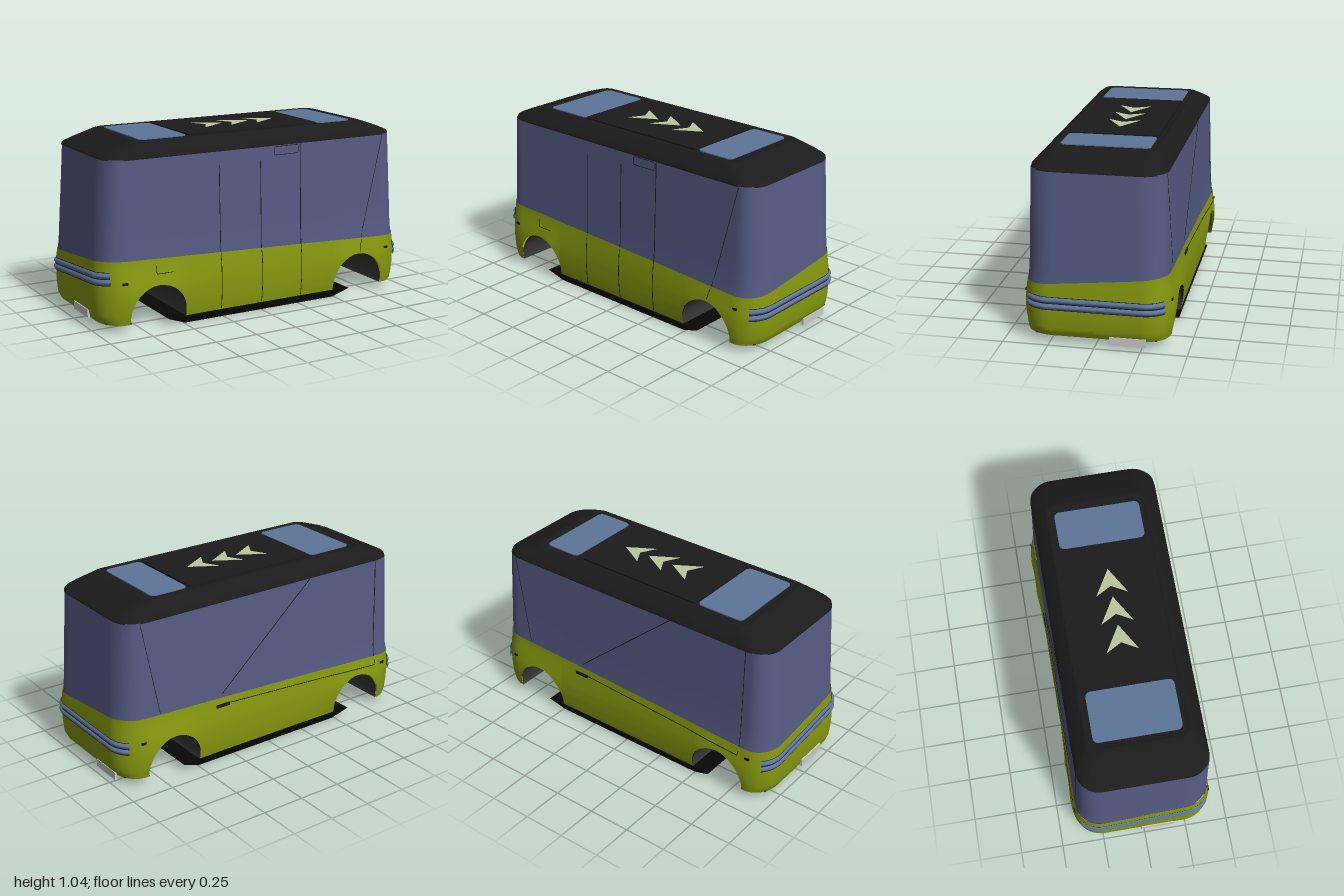
import * as THREE from 'three';

const CORE = 0.845, ARCH_X = 0.66, ARCH_Y = 0.08, ARCH_R = 0.17, SILL = 0.045, EAVE = 0.95;
const paint = (color) => new THREE.MeshStandardMaterial({ color, side: THREE.DoubleSide });
const green = paint(0x86990f), glass = paint(0x565b84), black = paint(0x1b1b1b), floorBlack = paint(0x080808);
const blue = paint(0x5d7599), wellGrey = paint(0x383838), arrowGreen = paint(0xbcc69c), grey = paint(0xcccccc);

// Body profile: height, half length, half width
const PROFILE = [
  [0, 0.955, 0.382], [0.045, 0.965, 0.385], [0.08, 0.982, 0.39], [0.14, 0.987, 0.395], [0.22, 0.988, 0.397],
  [0.3, 0.984, 0.392], [0.38, 0.977, 0.383], [0.95, 0.94, 0.365], [1.1, 0.93, 0.36],
];
function profile(y) {
  let i = 1;
  while (i < PROFILE.length - 1 && PROFILE[i][0] < y) i++;
  const p = PROFILE[i - 1], q = PROFILE[i], t = (y - p[0]) / (q[0] - p[0]);
  return [p[1] + (q[1] - p[1]) * t, p[2] + (q[2] - p[2]) * t];
}
// Swelling of the side around the wheel arches
const flare = (x, y) =>
  0.017 * Math.exp(-(((Math.abs(x) - 0.68) / 0.2) ** 4)) * Math.exp(-(((y - 0.18) / 0.12) ** 2));
const waist = (x, z) => 0.367 - 0.0375 * (x / 0.95) * (z / 0.38);

// A column of the shell: place on the core rectangle (kx, kz) and outward direction (nx, nz)
const column = (kx, kz, nx, nz) => ({ kx, kz, nx, nz });
function plan(c, a, b, core = CORE, r = 0.15) {
  return [c.kx * core + c.nx * (a - core), c.kz * (b - r) + c.nz * r];
}
function bodyPoint(c, y, out = 0) {
  const [a, b] = profile(y);
  const [x, z] = plan(c, a + out, b + out);
  return [x, y, z + c.nz * flare(x, y)];
}

// Side stations, dense around the arches
const stations = [-0.3, -0.15, 0, 0.15, 0.3];
for (const s of [-1, 1]) {
  for (let k = 0; k <= 16; k++) stations.push(s * ARCH_X + ARCH_R * Math.cos((k * Math.PI) / 16));
  for (const e of [-1, 1]) stations.push(s * ARCH_X + e * (ARCH_R + 0.0005));
}
stations.sort((p, q) => p - q);

function perimeter() {
  const cols = [];
  const corner = (kx, kz, start) => {
    for (let k = 0; k <= 10; k++) {
      const f = start + (k * Math.PI) / 20;
      cols.push(column(kx, kz, Math.cos(f), Math.sin(f)));
    }
  };
  const side = (s) => stations.forEach((x) => cols.push(column((-s * x) / CORE, s, 0, s)));
  cols.push(column(1, 0, 1, 0));
  corner(1, 1, 0);
  side(1);
  corner(-1, 1, Math.PI / 2);
  cols.push(column(-1, 0, -1, 0));
  corner(-1, -1, Math.PI);
  side(-1);
  corner(1, -1, 1.5 * Math.PI);
  cols.push(column(1, 0, 1, 0));
  return cols;
}

function loft(cols, rows, point) {
  const pos = [], idx = [];
  cols.forEach((c, i) => {
    for (let j = 0; j <= rows; j++) {
      pos.push(...point(c, j / rows, j));
      if (i && j) {
        const d = i * (rows + 1) + j, b = d - rows - 1;
        idx.push(b - 1, b, d - 1, b, d, d - 1);
      }
    }
  });
  const g = new THREE.BufferGeometry();
  g.setAttribute('position', new THREE.Float32BufferAttribute(pos, 3));
  g.setIndex(idx);
  g.computeVertexNormals();
  return g;
}

function flatPanel(points, depth) {
  const shape = new THREE.Shape(points.map(([x, z]) => new THREE.Vector2(x, -z)));
  return new THREE.ExtrudeGeometry(shape, { depth, bevelEnabled: false }).rotateX(-Math.PI / 2);
}
function roundedPoints(x0, x1, hz, r) {
  const pts = [];
  [[x1 - r, hz - r], [x0 + r, hz - r], [x0 + r, r - hz], [x1 - r, r - hz]].forEach(([x, z], q) => {
    for (let k = 0; k <= 6; k++) {
      const f = (q + k / 6) * Math.PI / 2;
      pts.push([x + r * Math.cos(f), z + r * Math.sin(f)]);
    }
  });
  return pts;
}

export function createModel() {
  const model = new THREE.Group();
  const add = (name, geo, mat, x = 0, y = 0, z = 0) => {
    const m = new THREE.Mesh(geo, mat);
    m.name = name;
    m.position.set(x, y, z);
    model.add(m);
    return m;
  };
  const cols = perimeter();
  const waistOf = (c) => { const p = bodyPoint(c, 0.37); return waist(p[0], p[2]); };

  // Lower shell, cut out over the wheels
  add('lowerBody', loft(cols, 14, (c, v) => {
    const d = Math.abs(Math.abs(c.kx * CORE) - ARCH_X);
    const cut = Math.abs(c.nz) === 1 && d <= ARCH_R + 1e-6;
    const base = cut ? ARCH_Y + Math.sqrt(Math.max(0, ARCH_R ** 2 - d * d)) : SILL;
    return bodyPoint(c, base + (waistOf(c) - base) * v ** 1.4);
  }), green);
  // Glazed upper shell, inset a little from the waist
  add('glazing', loft(cols, 8, (c, v) => {
    const y0 = waistOf(c) - 0.01;
    return bodyPoint(c, y0 + (EAVE - y0) * v, -0.004);
  }), glass);

  // Roof: height, half length, half width, corner radius
  const roof = [[0.945, 0.94, 0.366, 0.13], [0.957, 0.936, 0.364, 0.13], [0.978, 0.89, 0.345, 0.12],
    [1.015, 0.785, 0.303, 0.08], [1.026, 0.75, 0.29, 0.06], [1.03, 0.73, 0.28, 0.05], [1.024, 0.715, 0.268, 0.04]];
  add('roof', loft(cols, roof.length - 1, (c, v, j) => {
    const [y, a, b, r] = roof[j];
    const [x, z] = plan(c, a, b, a - r, r);
    return [x, y, z];
  }), black);
  add('roofPanel', flatPanel(roundedPoints(-0.72, 0.72, 0.272, 0.04), 0.01), black, 0, 1.0145);
  add('roofCentre', flatPanel(roundedPoints(-0.39, 0.45, 0.25, 0.01), 0.012), black, 0, 1.022);
  add('rearRoofWindow', flatPanel(roundedPoints(-0.69, -0.4, 0.245, 0.03), 0.01), blue, 0, 1.02);
  add('frontRoofWindow', flatPanel(roundedPoints(0.46, 0.69, 0.245, 0.03), 0.01), blue, 0, 1.02);
  for (const x of [-0.2, -0.03, 0.14])
    add('roofArrow', flatPanel([[0, -0.09], [0.155, 0], [0, 0.09], [0.05, 0]], 0.003), arrowGreen, x, 1.033);

  // Floor pan: tapered slab between the axles
  const pan = new THREE.BoxGeometry(1.2, 0.042, 0.79);
  const pp = pan.attributes.position;
  for (let i = 0; i < pp.count; i++)
    if (pp.getY(i) < 0) pp.setXYZ(i, pp.getX(i) * 0.82, pp.getY(i), pp.getZ(i) * 0.96);
  pan.computeVertexNormals();
  add('floorPan', pan, floorBlack, 0, 0.0215);

  for (const s of [-1, 1]) {
    // Wheel wells run through the full width
    const well = new THREE.CylinderGeometry(ARCH_R, ARCH_R, 0.785, 32, 1, true, -Math.PI / 2 - 0.2, Math.PI + 0.4);
    well.rotateX(-Math.PI / 2);
    if (well.boundingBox === null) well.computeBoundingBox();
    if (well.boundingBox.max.y < 0.1) well.rotateZ(Math.PI);
    add('wheelWell', well, wellGrey, s * ARCH_X, ARCH_Y);
    add('endFloor', new THREE.BoxGeometry(0.12, 0.008, 0.66), wellGrey, s * 0.888, 0.05);

    // Light bars wrapping around each end
    const ends = [];
    for (const kz of [-1, 1])
      for (let k = 0; k <= 8; k++) {
        const f = ((kz < 0 ? k - 8 : k) / 8) * 0.9;
        ends.push(column(s, s * kz, s * Math.cos(f), s * Math.sin(f)));
      }
    const band = (name, off, half, out, bulge, mat) => add(name, loft(ends, 6, (c, v) => {
      const z = bodyPoint(c, 0.24)[2];
      const mid = s > 0 ? 0.236 : 0.276 + 0.09 * z;
      return bodyPoint(c, mid + off + half * (2 * v - 1), out + bulge * Math.sin(Math.PI * v));
    }), mat);
    band('lightBarRecess', 0, 0.037, 0.003, 0, black);
    for (const o of [-0.018, 0.018]) band('lightStrip', o, 0.0155, 0.003, 0.008, blue);
  }
  add('frontPlate', new THREE.BoxGeometry(0.012, 0.046, 0.195), grey, 0.972, 0.042, -0.177);
  add('rearPlate', new THREE.BoxGeometry(0.012, 0.046, 0.195), grey, -0.984, 0.075, 0.08);

  // Panel seams following the side surfaces
  const seam = (s, x0, y0, x1, y1, r = 0.0025) => {
    const pts = [];
    for (let k = 0; k <= 12; k++) {
      const x = x0 + ((x1 - x0) * k) / 12, y = y0 + ((y1 - y0) * k) / 12;
      const z = profile(y)[1] + flare(x, y) - (y > waist(x, s * 0.38) ? 0.004 : 0);
      pts.push(new THREE.Vector3(x, y, s * z));
    }
    add('panelSeam', new THREE.TubeGeometry(new THREE.CatmullRomCurve3(pts), 24, r, 5), black);
  };
  for (const [x, top] of [[-0.265, 0.87], [0, 0.87], [0.265, 0.95]]) seam(1, x, 0.05, x, top);
  seam(1, 0.84, 0.94, 0.67, 0.26, 0.0018);
  seam(-1, 0.84, 0.94, 0.74, 0.4, 0.0018);
  seam(-1, -0.31, 0.95, 0.33, 0.4);
  seam(-1, -0.8, 0.95, -0.8, 0.29);
  seam(-1, 0.33, 0.34, -0.8, 0.28);
  // Door sign outline and charging flap
  for (const y of [0.89, 0.938]) seam(1, 0.1, y, 0.25, y, 0.0018);
  for (const x of [0.095, 0.255]) seam(1, x, 0.895, x, 0.933, 0.0018);
  seam(1, -0.67, 0.31, -0.57, 0.31, 0.0018);
  seam(1, -0.67, 0.31, -0.67, 0.36, 0.0018);

  // Side markers and door handle
  for (const s of [-1, 1]) {
    add('sideMarker', new THREE.BoxGeometry(0.03, 0.014, 0.012), black, 0.86, 0.262, s * 0.395);
    add('sideMarker', new THREE.BoxGeometry(0.03, 0.014, 0.012), black, -0.86, 0.28, s * 0.395);
  }
  add('doorHandle', new THREE.BoxGeometry(0.09, 0.018, 0.012), black, 0.33, 0.335, -0.388);
  return model;
}
